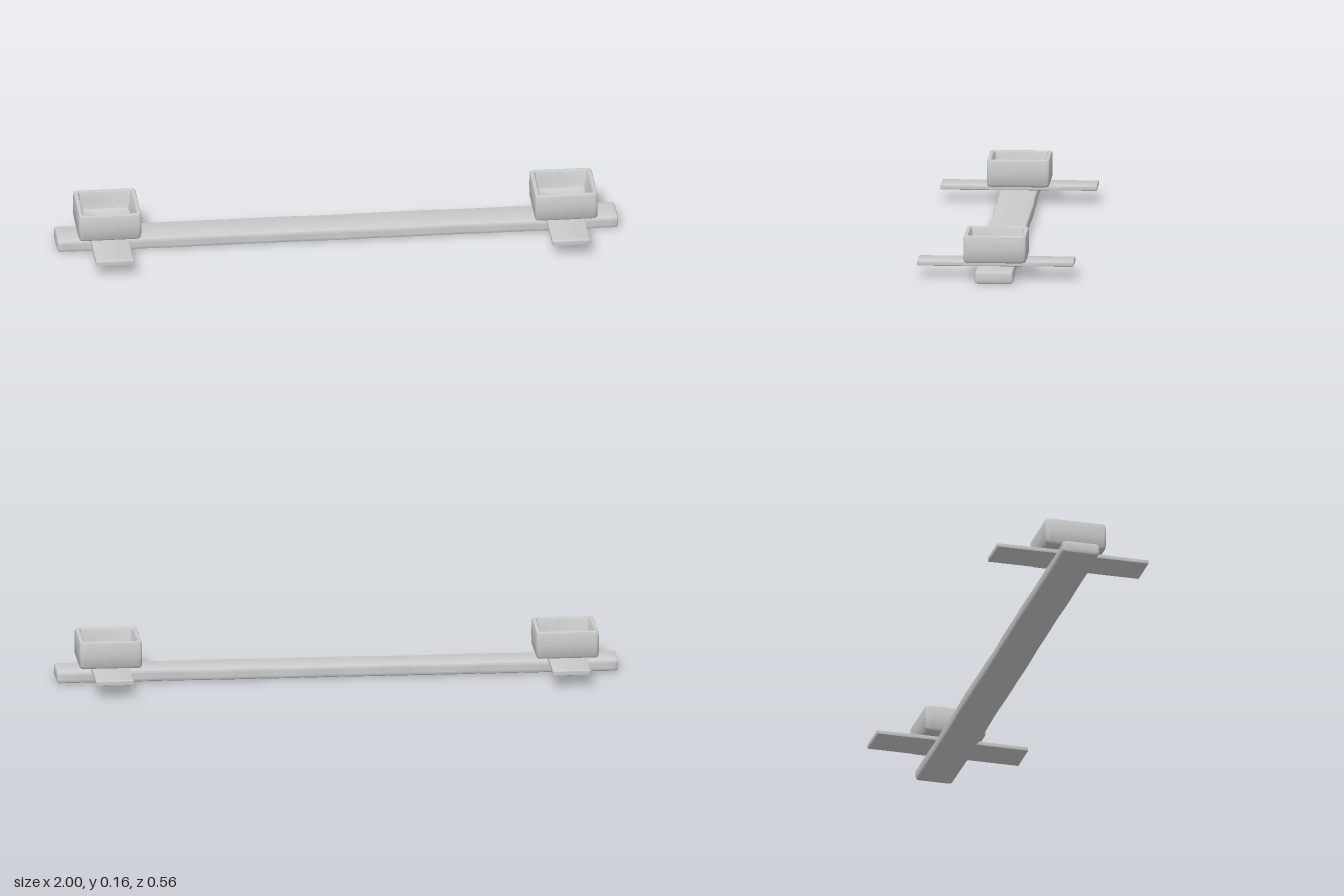
import * as THREE from 'three';
import { mergeVertices, toCreasedNormals } from 'three/addons/utils/BufferGeometryUtils.js';

const material = new THREE.MeshStandardMaterial({ color: 0xcccccc, roughness: 0.9 });

// Points of a rounded rectangle, counter-clockwise, centred on the origin
function roundedRect(halfW, halfH, r, arcSteps) {
  const points = [];
  const corners = [[1, 1], [-1, 1], [-1, -1], [1, -1]];
  corners.forEach(([sx, sy], c) => {
    for (let i = 0; i <= arcSteps; i++) {
      const a = (c + i / arcSteps) * Math.PI / 2;
      points.push(new THREE.Vector2(
        sx * (halfW - r) + r * Math.cos(a),
        sy * (halfH - r) + r * Math.sin(a)));
    }
  });
  return points;
}

// Worn timber board running along z, with slightly wavy edges
function board(name, width, height, length, wear, steps) {
  const r = height * 0.2;
  const section = new THREE.Shape(roundedRect(width / 2 - r, height / 2 - r, r * 0.6, 2));
  let geo = new THREE.ExtrudeGeometry(section, {
    depth: length - 2 * r, steps, bevelEnabled: true,
    bevelSize: r, bevelThickness: r, bevelSegments: 2,
  });
  geo.translate(0, 0, r - length / 2);
  const p = geo.attributes.position;
  for (let i = 0; i < p.count; i++) {
    const x = p.getX(i), y = p.getY(i), z = p.getZ(i);
    const side = Math.sign(x), top = y > 0 ? 1 : 0;
    const wave = Math.sin(z * 9 + side * 2) + 0.6 * Math.sin(z * 23 + side + top * 2);
    // Edges only move inward so the board keeps its overall size
    p.setX(i, x - side * wear * (0.8 + 0.5 * wave));
    p.setY(i, y - top * wear * 0.35 * (1 + Math.sin(z * 14 + x * 20)));
  }
  geo.deleteAttribute('normal');
  geo.deleteAttribute('uv');
  geo = toCreasedNormals(mergeVertices(geo), 0.6);
  const mesh = new THREE.Mesh(geo, material);
  mesh.name = name;
  return mesh;
}

// Open square tray: rounded-square rings lofted up the outside, over the rim and down inside
function tray() {
  // half width, corner radius, height
  const rings = [
    [0.098, 0.008, 0], [0.106, 0.011, 0.002], [0.111, 0.013, 0.009],
    [0.112, 0.013, 0.05], [0.111, 0.013, 0.092], [0.109, 0.012, 0.097],
    [0.105, 0.011, 0.099], [0.097, 0.009, 0.099], [0.094, 0.008, 0.096],
    [0.089, 0.008, 0.06], [0.082, 0.008, 0.036], [0.075, 0.007, 0.033],
  ];
  const positions = [], index = [];
  let n = 0;
  for (const [half, r, y] of rings) {
    const loop = roundedRect(half, half, r, 4);
    n = loop.length;
    loop.forEach(q => positions.push(q.x, y, -q.y));
  }
  for (let k = 0; k < rings.length - 1; k++) {
    for (let i = 0; i < n; i++) {
      const j = (i + 1) % n;
      const a = k * n + i, b = k * n + j, c = a + n, d = b + n;
      index.push(a, b, d, a, d, c);
    }
  }
  // Underside and inner floor
  const under = positions.length / 3, floor = under + 1;
  positions.push(0, 0, 0, 0, rings.at(-1)[2], 0);
  const last = (rings.length - 1) * n;
  for (let i = 0; i < n; i++) {
    const j = (i + 1) % n;
    index.push(under, j, i, floor, last + i, last + j);
  }
  const geo = new THREE.BufferGeometry();
  geo.setAttribute('position', new THREE.Float32BufferAttribute(positions, 3));
  geo.setIndex(index);
  const mesh = new THREE.Mesh(toCreasedNormals(geo, 0.7), material);
  mesh.name = 'tray';
  return mesh;
}

export function createModel() {
  const model = new THREE.Group();
  model.name = 'plankWithTrays';

  // Long main beam along x
  const beam = board('beam', 0.14, 0.045, 2, 0.002, 90);
  beam.rotation.y = Math.PI / 2;
  beam.position.y = 0.0225;
  model.add(beam);

  // A cross board and a tray near each end
  for (const [name, x] of [['leftEnd', 0.811], ['rightEnd', -0.816]]) {
    const end = new THREE.Group();
    end.name = name;
    const cross = board('crossBoard', 0.137, 0.017, 0.556, 0.0008, 24);
    cross.position.y = 0.0525;
    const box = tray();
    box.position.y = 0.061;
    end.add(cross, box);
    end.position.x = x;
    model.add(end);
  }
  return model;
}
